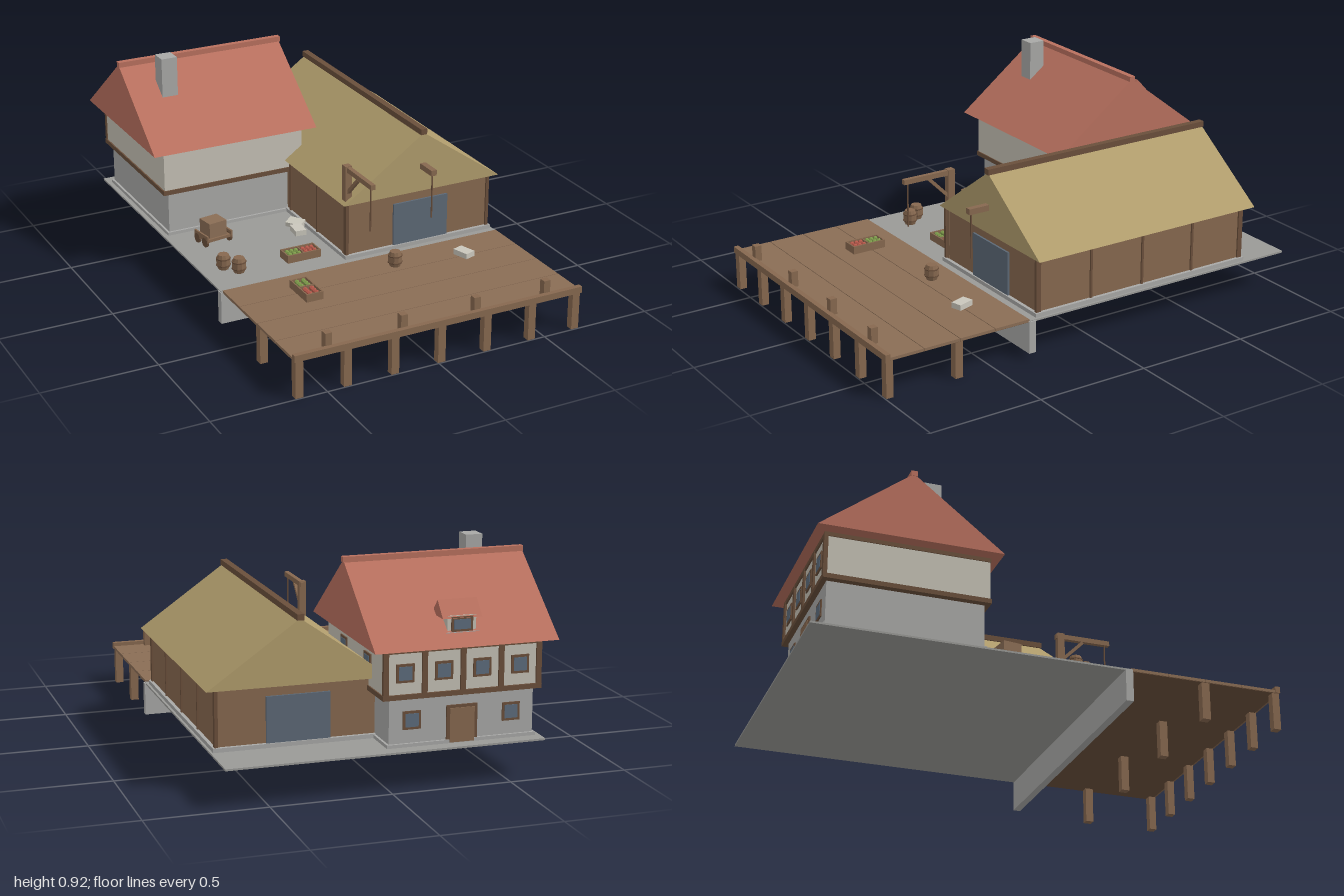
import * as THREE from 'three';

const mat = (color) => new THREE.MeshStandardMaterial({ color, flatShading: true });
const M = {
  wood: mat(0x86684f), dark: mat(0x6a4f3b), plank: mat(0x8a6d55), thatch: mat(0xb09c6c),
  tile: mat(0xb8705e), plaster: mat(0xc4c0b4), stone: mat(0xa8a8a6), ground: mat(0x999996),
  slate: mat(0x5c6875), glass: mat(0x5d6c7c), sack: mat(0xc9c6bb), green: mat(0x7d9a4a), red: mat(0xb5584a),
};

// Box given by its min/max extents on each axis
function box(parent, name, m, x0, x1, y0, y1, z0, z1) {
  const b = new THREE.Mesh(new THREE.BoxGeometry(x1 - x0, y1 - y0, z1 - z0), m);
  b.position.set((x0 + x1) / 2, (y0 + y1) / 2, (z0 + z1) / 2);
  b.name = name;
  parent.add(b);
  return b;
}

// Solid gable prism, ridge along z, centred on the origin in plan
function gable(parent, name, m, width, height, length) {
  const s = new THREE.Shape([
    new THREE.Vector2(-width / 2, 0), new THREE.Vector2(width / 2, 0), new THREE.Vector2(0, height)]);
  const g = new THREE.ExtrudeGeometry(s, { depth: length, bevelEnabled: false });
  g.translate(0, 0, -length / 2);
  const p = new THREE.Mesh(g, m);
  p.name = name;
  parent.add(p);
  return p;
}

function group(parent, name, x = 0, y = 0, z = 0, ry = 0) {
  const g = new THREE.Group();
  g.name = name;
  g.position.set(x, y, z);
  g.rotation.y = ry;
  parent.add(g);
  return g;
}

// Framed window centred on its origin, facing +z
function windowUnit(parent, x, y, z, ry, w = 0.075, h = 0.075) {
  const g = group(parent, 'window', x, y, z, ry);
  box(g, 'windowFrame', M.dark, -w / 2, w / 2, -h / 2, h / 2, -0.004, 0.004);
  box(g, 'windowPane', M.glass, -w / 2 + 0.01, w / 2 - 0.01, -h / 2 + 0.01, h / 2 - 0.01, 0, 0.006);
}

function barrel(parent, x, y, z) {
  const g = group(parent, 'barrel', x, y, z);
  const profile = [[0, 0], [0.023, 0], [0.03, 0.022], [0.03, 0.044], [0.023, 0.066], [0, 0.066]];
  const body = new THREE.Mesh(new THREE.LatheGeometry(profile.map((p) => new THREE.Vector2(...p)), 10), M.wood);
  body.name = 'barrelBody';
  g.add(body);
  for (const h of [0.018, 0.048]) {
    const hoop = new THREE.Mesh(new THREE.CylinderGeometry(0.0315, 0.0315, 0.005, 10), M.dark);
    hoop.position.y = h;
    hoop.name = 'barrelHoop';
    g.add(hoop);
  }
}

// Open double crate with produce in each half
function produceCrate(parent, x, y, z, ry) {
  const g = group(parent, 'produceCrate', x, y, z, ry);
  box(g, 'crateBase', M.wood, -0.075, 0.075, 0, 0.008, -0.035, 0.035);
  for (const s of [-1, 1]) {
    box(g, 'crateSide', M.wood, -0.078, 0.078, 0, 0.035, s * 0.035 - 0.003, s * 0.035 + 0.003);
    const m = s < 0 ? M.green : M.red;
    for (let i = 0; i < 6; i++) {
      const f = new THREE.Mesh(new THREE.IcosahedronGeometry(0.012, 0), m);
      f.position.set(s * 0.037 + ((i % 3) - 1) * 0.021, 0.027, (i < 3 ? -1 : 1) * 0.015);
      f.name = 'produce';
      g.add(f);
    }
  }
  for (const e of [-0.075, 0, 0.075]) box(g, 'crateEnd', M.wood, e - 0.003, e + 0.003, 0, 0.035, -0.035, 0.035);
}

function sack(parent, x, y, z, ry, tilt = 0) {
  const b = new THREE.Mesh(new THREE.BoxGeometry(0.05, 0.024, 0.075), M.sack);
  b.position.set(x, y, z);
  b.rotation.set(0, ry, tilt);
  b.name = 'sack';
  parent.add(b);
}

function buildQuay(root) {
  const g = group(root, 'quay');
  box(g, 'pavement', M.ground, -0.645, 0.675, 0.16, 0.168, -1, 0.33);
  box(g, 'quayWall', M.stone, -0.65, 0.68, 0.025, 0.165, 0.305, 0.337);
  // Pier boards, kerb, bollards and piles
  for (let i = 0; i < 4; i++) {
    const z = 0.33 + i * 0.165;
    box(g, 'deckBoard', M.plank, -0.64, 0.672, 0.162, 0.174, z + 0.002, z + 0.164);
  }
  box(g, 'deckUnderlay', M.dark, -0.638, 0.67, 0.16, 0.17, 0.33, 0.99);
  box(g, 'kerb', M.wood, -0.642, 0.674, 0.162, 0.19, 0.978, 1);
  for (const x of [-0.485, -0.15, 0.185, 0.515])
    box(g, 'bollard', M.wood, x - 0.015, x + 0.015, 0.17, 0.243, 0.95, 0.98);
  for (let i = 0; i < 7; i++) {
    const x = -0.62 + i * 0.2117;
    box(g, 'pile', M.wood, x - 0.017, x + 0.017, 0, 0.163, 0.964, 0.996);
    if (i % 2 === 0) box(g, 'pile', M.wood, x - 0.017, x + 0.017, 0, 0.163, 0.645, 0.68);
  }
}

function buildHouse(root) {
  const g = group(root, 'house');
  box(g, 'plinth', M.stone, -0.625, 0.005, 0.165, 0.182, -0.945, -0.275);
  box(g, 'lowerWalls', M.stone, -0.615, -0.005, 0.165, 0.37, -0.935, -0.285);
  box(g, 'floorBelt', M.dark, -0.643, 0.028, 0.365, 0.385, -0.957, -0.263);
  box(g, 'upperWalls', M.plaster, -0.637, 0.022, 0.38, 0.57, -0.948, -0.268);
  box(g, 'topBeam', M.dark, -0.641, 0.026, 0.55, 0.568, -0.955, -0.265);
  // Timber framing and windows on the back
  for (let i = 0; i < 5; i++) {
    const x = -0.63 + i * 0.1612;
    box(g, 'timberPost', M.dark, x - 0.011, x + 0.011, 0.38, 0.56, -0.957, -0.94);
    if (i < 4) windowUnit(g, x + 0.0806, 0.47, -0.95, Math.PI);
  }
  for (const x of [-0.52, -0.1]) windowUnit(g, x, 0.275, -0.936, Math.PI);
  box(g, 'doorFrame', M.dark, -0.375, -0.245, 0.168, 0.322, -0.942, -0.93);
  box(g, 'door', M.wood, -0.362, -0.258, 0.17, 0.31, -0.946, -0.93);
  for (const z of [-0.48, -0.766]) windowUnit(g, 0.024, 0.48, z, Math.PI / 2);
  // Tiled roof with ridge and chimney
  const roof = gable(g, 'houseRoof', M.tile, 0.772, 0.295, 0.77);
  roof.rotation.y = Math.PI / 2;
  roof.position.set(-0.31, 0.567, -0.612);
  box(g, 'houseRidge', M.tile, -0.697, 0.08, 0.853, 0.876, -0.624, -0.598);
  box(g, 'chimney', M.stone, -0.557, -0.485, 0.7, 0.915, -0.527, -0.453);
  // Dormer on the back slope
  const d = group(g, 'dormer', -0.308, 0, 0);
  box(d, 'dormerBody', M.plaster, -0.06, 0.06, 0.6, 0.68, -0.928, -0.83);
  windowUnit(d, 0, 0.645, -0.93, Math.PI, 0.09, 0.06);
  box(d, 'dormerSill', M.stone, -0.07, 0.07, 0.605, 0.615, -0.938, -0.92);
  const cap = gable(d, 'dormerRoof', M.tile, 0.12, 0.065, 0.165);
  cap.rotation.y = Math.PI / 2;
  cap.position.set(0, 0.67, -0.89 + 0.015);
}

function buildWarehouse(root) {
  const g = group(root, 'warehouse');
  box(g, 'sill', M.stone, -0.052, 0.665, 0.165, 0.185, -0.787, 0.295);
  box(g, 'warehouseWalls', M.wood, -0.04, 0.65, 0.17, 0.425, -0.772, 0.28);
  // Wall posts along both sides
  for (const x of [-0.04, 0.65])
    for (let i = 0; i < 5; i++) {
      const z = 0.277 - i * 0.2615, w = i % 4 ? 0.005 : 0.011;
      box(g, 'wallPost', M.dark, x - 0.007, x + 0.007, 0.18, 0.422, z - w, z + w);
    }
  // Sliding doors front and back
  box(g, 'frontDoor', M.slate, 0.183, 0.447, 0.185, 0.375, 0.275, 0.289);
  box(g, 'backDoor', M.slate, 0.183, 0.447, 0.185, 0.375, -0.781, -0.765);
  const roof = gable(g, 'warehouseRoof', M.thatch, 0.757, 0.265, 1.11);
  roof.position.set(0.317, 0.42, -0.255);
  box(g, 'warehouseRidge', M.dark, 0.301, 0.33, 0.678, 0.703, -0.815, 0.305);
  box(g, 'hoistBeam', M.wood, 0.302, 0.328, 0.523, 0.548, 0.25, 0.395);
  box(g, 'hoistRope', M.dark, 0.3125, 0.3175, 0.325, 0.525, 0.378, 0.383);
}

function buildCrane(root) {
  const g = group(root, 'crane');
  box(g, 'cranePost', M.wood, -0.046, -0.016, 0.165, 0.59, 0.25, 0.282);
  box(g, 'craneArm', M.wood, -0.041, -0.021, 0.565, 0.587, 0.245, 0.495);
  const brace = box(g, 'craneBrace', M.wood, -0.038, -0.024, 0.512, 0.526, 0.26, 0.39);
  brace.rotation.x = -Math.PI / 4;
  box(g, 'craneRope', M.dark, -0.0335, -0.0285, 0.372, 0.567, 0.472, 0.477);
}

function buildCart(root) {
  const g = group(root, 'cart', -0.472, 0.168, -0.135, 0.15);
  box(g, 'cartBed', M.wood, -0.055, 0.055, 0.025, 0.038, -0.05, 0.05);
  box(g, 'cartLoad', M.plank, -0.043, 0.043, 0.038, 0.105, -0.04, 0.04);
  for (const x of [-0.06, 0.06]) {
    box(g, 'cartRail', M.wood, x - 0.004, x + 0.004, 0.03, 0.055, -0.052, 0.052);
    for (const z of [-0.03, 0.03]) {
      const w = new THREE.Mesh(new THREE.CylinderGeometry(0.022, 0.022, 0.009, 10), M.dark);
      w.rotation.z = Math.PI / 2;
      w.position.set(x, 0.022, z);
      w.name = 'cartWheel';
      g.add(w);
    }
  }
  box(g, 'smallCrate', M.wood, 0.035, 0.075, 0, 0.04, -0.085, -0.045);
}

export function createModel() {
  const root = new THREE.Group();
  root.name = 'harbourYard';
  buildQuay(root);
  buildHouse(root);
  buildWarehouse(root);
  buildCrane(root);
  buildCart(root);
  // Loose goods on the yard and pier
  barrel(root, -0.545, 0.168, 0.13);
  barrel(root, -0.5, 0.168, 0.19);
  barrel(root, 0.105, 0.174, 0.445);
  produceCrate(root, -0.207, 0.168, 0.178, 0);
  produceCrate(root, -0.345, 0.174, 0.51, -Math.PI / 2);
  sack(root, -0.085, 0.182, -0.115, 0.6, 0.2);
  sack(root, -0.105, 0.18, -0.05, -0.1);
  sack(root, 0.415, 0.186, 0.49, 0.3);
  return root;
}
